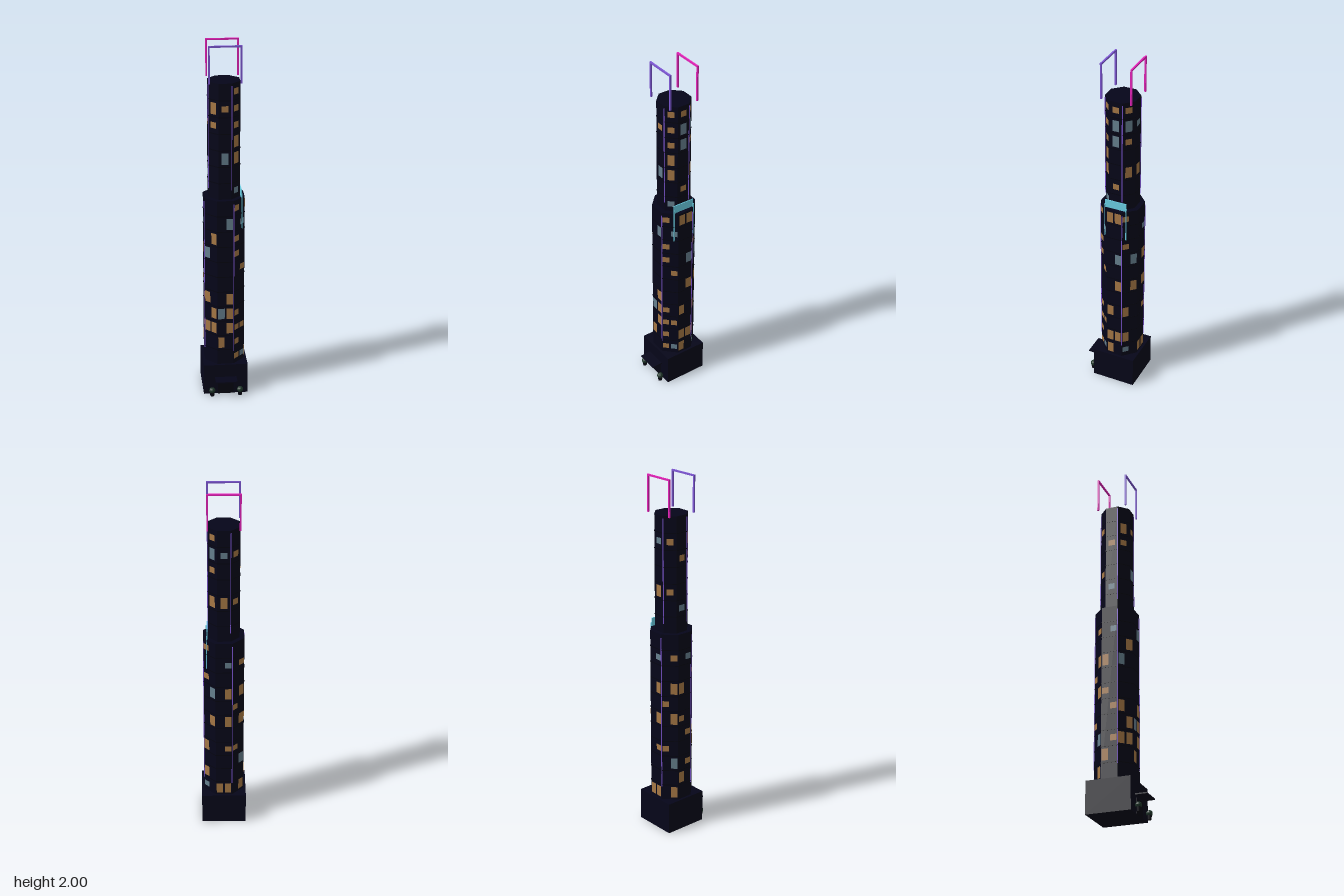
import * as THREE from 'three';

const mat = (name, color) => Object.assign(new THREE.MeshStandardMaterial({ color }), { name });

export function createModel() {
  const model = new THREE.Group();
  model.name = 'tower';
  const M = {
    wall: mat('night navy', 0x050519),
    trim: mat('dark trim', 0x030310),
    warm: mat('warm window', 0xa67845),
    blue: mat('cool window', 0x66808e),
    violet: mat('violet neon', 0x8058d8),
    magenta: mat('magenta neon', 0xe822bc),
    cyan: mat('cyan neon', 0x6cd2e8),
    leaf: mat('dark green', 0x1e3529),
  };
  M.warm.side = M.blue.side = THREE.DoubleSide;
  const CZ = -0.032; // tower axis

  const add = (parent, name, geo, material, x = 0, y = 0, z = 0) => {
    const mesh = new THREE.Mesh(geo, material);
    mesh.name = name;
    mesh.position.set(x, y, z);
    parent.add(mesh);
    return mesh;
  };
  const box = (parent, name, material, w, h, d, x, y, z) =>
    add(parent, name, new THREE.BoxGeometry(w, h, d), material, x, y, z);

  const flat = (geo) => { geo.computeVertexNormals(); return geo; };
  // Octagonal prism with a flat side facing front, sized by apothem
  const octagon = (apothem, h) => {
    const r = apothem / Math.cos(Math.PI / 8);
    return flat(new THREE.CylinderGeometry(r, r, h, 8).rotateY(Math.PI / 8).toNonIndexed());
  };

  // Podium
  box(model, 'podium', M.wall, 0.248, 0.18, 0.248, 0, 0.09, CZ);

  // Lit windows: one string per side (front, then round by way of +x),
  // floors from bottom to top, columns left to right.
  // w = warm, b = cool, capitals = half-drawn blinds
  const lowerWindows = [
    '.. w. .w bw .w .. .. .. .. .b ..',
    'WB W. WW W. .. .. .W W. W. .B W.',
    'w. ww .. w. .. .w .. .b .. .. ww',
    'B. w. .. w. .. .w .. .b W. .. W.',
    'ww .. .. .W .. .w .. .w .. .B ..',
    '.w .. .b W. .. .w W. .w .. .W ..',
    '.. w. .W .. .W W. .. w. .. .B ..',
    '.. .. ww .w w. .. .. b. .w .. ..',
  ];
  const upperWindows = [
    '. . b . . W .', 'B . w w W W W', '. W . . b b W', '. . w . W b W',
    '. . w . . B .', '. . W . . W .', '. B . . W . .', '. . . . W w .',
  ];

  function tier(name, apothem, y0, y1, rows) {
    const group = new THREE.Group();
    group.name = name;
    group.position.z = CZ;
    model.add(group);
    const h = y1 - y0;
    add(group, 'shaft', octagon(apothem, h), M.wall, 0, y0 + h / 2, 0);

    const side = 2 * apothem * Math.tan(Math.PI / 8);
    const floors = rows[0].split(' ').length;
    const floorH = h / floors;

    // Floor bands
    for (let f = 1; f < floors; f++)
      add(group, 'floorBand', octagon(apothem + 0.0012, 0.005), M.trim, 0, y0 + f * floorH, 0);

    rows.forEach((row, i) => {
      const face = new THREE.Group();
      face.name = 'facade';
      face.rotation.y = i * Math.PI / 4;
      group.add(face);
      row.split(' ').forEach((cells, f) => {
        const pitch = side / cells.length;
        [...cells].forEach((c, k) => {
          if (c === '.') return;
          const paneH = c === c.toUpperCase() ? 0.034 : 0.064;
          add(face, 'window', new THREE.PlaneGeometry(Math.min(0.037, pitch * 0.8), paneH),
            c.toLowerCase() === 'w' ? M.warm : M.blue,
            (k + 0.5) * pitch - side / 2, y0 + (f + 0.5) * floorH, apothem + 0.001);
        });
      });
      // Neon line on the corner of every second side
      if (i % 2 === 0)
        box(face, 'neonLine', M.violet, 0.004, h * 0.9, 0.004, side / 2, y0 + h * 0.53, apothem);
    });
  }
  tier('lowerTier', 0.11, 0.18, 1.16, lowerWindows);
  tier('upperTier', 0.085, 1.16, 1.8, upperWindows);

  // Roof neon arches
  function arch(name, material, z) {
    const t = 0.009;
    for (const s of [-1, 1]) box(model, name + 'Post', material, t, 0.2, t, s * 0.084, 1.9, z);
    box(model, name + 'Bar', material, 0.168 + t, t, t, 0, 2 - t / 2, z);
  }
  arch('frontArch', M.violet, 0.051);
  arch('backArch', M.magenta, -0.116);

  // Side neon sign with legs running down the shaft
  box(model, 'sideSign', M.cyan, 0.005, 0.046, 0.124, 0.0895, 1.184, CZ);
  for (const s of [-1, 1])
    box(model, 'signLeg', M.cyan, 0.007, 0.2, 0.007, 0.0925, 1.08, CZ + s * 0.061);

  // Entrance canopy and door
  box(model, 'canopy', M.wall, 0.122, 0.007, 0.064, 0, 0.1, 0.123);
  box(model, 'door', M.trim, 0.09, 0.085, 0.004, 0, 0.0425, 0.093);

  // Potted shrubs on both sides of the door
  for (const s of [-1, 1]) {
    add(model, 'planter', new THREE.CylinderGeometry(0.014, 0.011, 0.026, 8), M.trim, s * 0.079, 0.013, 0.117);
    add(model, 'shrub', flat(new THREE.IcosahedronGeometry(0.018, 1)), M.leaf, s * 0.079, 0.034, 0.117);
  }
  return model;
}
